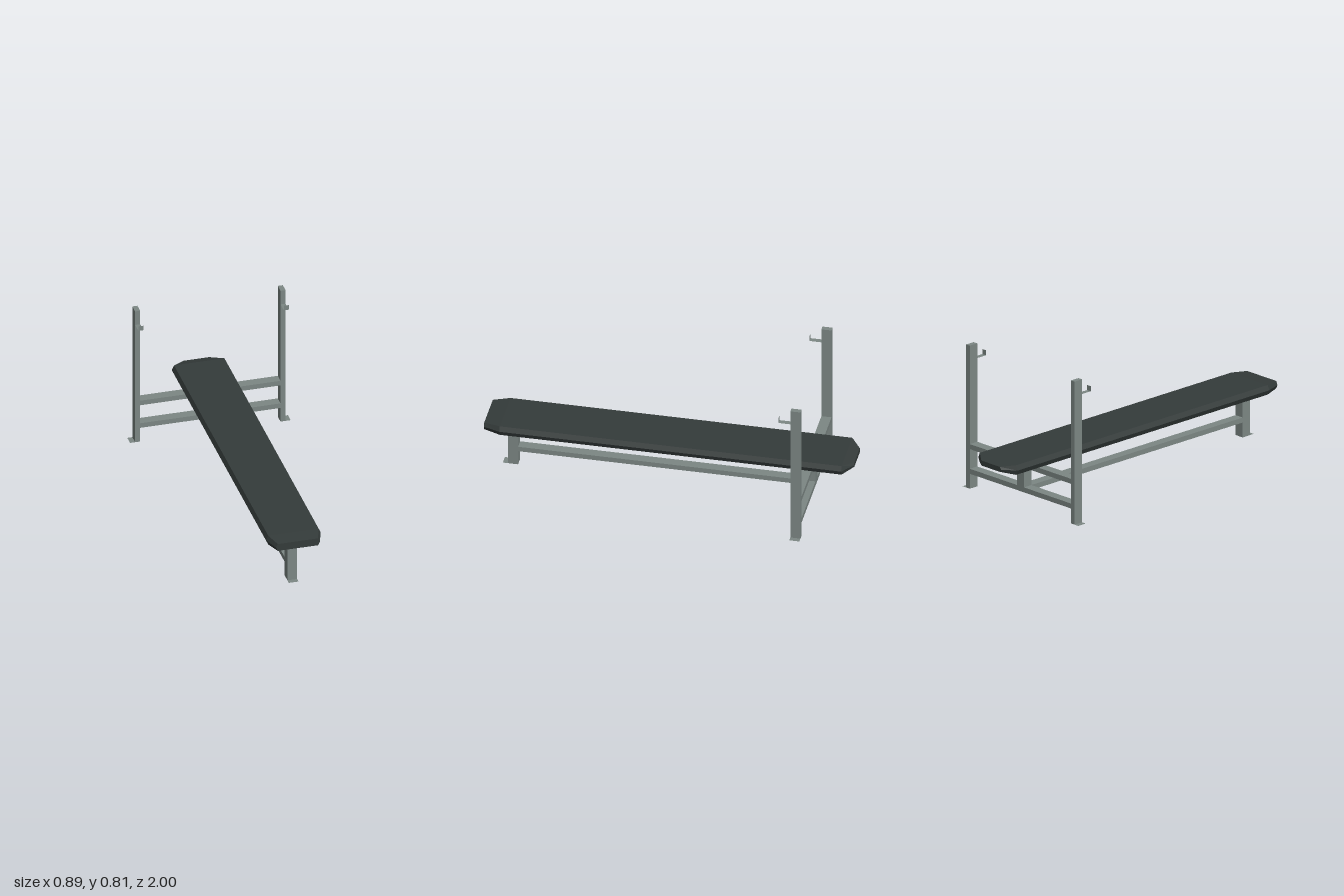
import * as THREE from 'three';

const steel = new THREE.MeshStandardMaterial({ color: 0x7c8784, side: THREE.DoubleSide, flatShading: true });
steel.name = 'grey steel';
const vinyl = new THREE.MeshStandardMaterial({ color: 0x343b3a, flatShading: true });
vinyl.name = 'dark vinyl';

// Box given by its min and max on each axis
function bar(name, [x0, x1], [y0, y1], [z0, z1]) {
  const mesh = new THREE.Mesh(new THREE.BoxGeometry(x1 - x0, y1 - y0, z1 - z0), steel);
  mesh.position.set((x0 + x1) / 2, (y0 + y1) / 2, (z0 + z1) / 2);
  mesh.name = name;
  return mesh;
}

// Flat sheet lying level at height y
function sheet(name, [x0, x1], y, [z0, z1]) {
  const mesh = new THREE.Mesh(new THREE.PlaneGeometry(x1 - x0, z1 - z0).rotateX(-Math.PI / 2), steel);
  mesh.position.set((x0 + x1) / 2, y, (z0 + z1) / 2);
  mesh.name = name;
  return mesh;
}

// Six-sided cushion lofted through cross-sections from front to back
function padGeometry() {
  const mid = 0.278;
  const sections = [ // z, half width at the middle, half width at top, half height
    [1, 0.121, 0.111, 0.021],
    [0.91, 0.151, 0.139, 0.027],
    [-0.945, 0.151, 0.139, 0.027],
    [-1, 0.08, 0.07, 0.014],
  ];
  const points = [];
  for (const [z, w, t, h] of sections) {
    points.push(w, mid, z, t, mid + h, z, -t, mid + h, z, -w, mid, z, -t, mid - h, z, t, mid - h, z);
  }
  const index = [];
  const last = (sections.length - 1) * 6;
  for (let s = 0; s < last; s += 6) {
    for (let j = 0; j < 6; j++) {
      const a = s + j, b = s + (j + 1) % 6;
      index.push(a, a + 6, b, b, a + 6, b + 6);
    }
  }
  for (let k = 1; k < 5; k++) {
    index.push(0, k, k + 1, last, last + k + 1, last + k);
  }
  const g = new THREE.BufferGeometry();
  g.setAttribute('position', new THREE.Float32BufferAttribute(points, 3));
  g.setIndex(index);
  const flat = g.toNonIndexed();
  flat.computeVertexNormals();
  return flat;
}

export function createModel() {
  const model = new THREE.Group();
  model.name = 'weightBench';

  const pad = new THREE.Mesh(padGeometry(), vinyl);
  pad.name = 'benchPad';
  model.add(pad);

  const backZ = [-0.78, -0.725];
  const midX = [-0.027, 0.027];
  const low = [0.084, 0.112];
  const high = [0.223, 0.251];

  // Front leg with its foot plate
  model.add(bar('frontLeg', midX, [0, high[0]], [0.834, 0.889]));
  model.add(sheet('frontFootPlate', midX, 0, [0.834, 0.917]));

  // Long beams under the pad
  model.add(bar('padBeam', midX, high, [backZ[1], 0.917]));
  model.add(bar('lowerBeam', midX, low, [backZ[1], 0.834]));

  // Cross bars between the uprights, joined by a short post
  model.add(bar('upperCrossBar', [-0.387, 0.387], high, backZ));
  model.add(bar('lowerCrossBar', [-0.387, 0.387], low, backZ));
  model.add(bar('centrePost', midX, [low[1], high[0]], backZ));

  // Uprights with outward foot plates and bar hooks
  for (const side of [-1, 1]) {
    const span = (a, b) => (side > 0 ? [a, b] : [-b, -a]);
    const upright = new THREE.Group();
    upright.name = side > 0 ? 'leftUpright' : 'rightUpright';
    upright.add(bar('post', span(0.387, 0.415), [0, 0.805], backZ));
    upright.add(sheet('footPlate', span(0.387, 0.443), 0, backZ));
    upright.add(sheet('hookShelf', span(0.387, 0.415), 0.722, [-0.725, -0.66]));
    const lip = new THREE.Mesh(new THREE.PlaneGeometry(0.028, 0.028), steel);
    lip.position.set(side * 0.401, 0.736, -0.66);
    lip.name = 'hookLip';
    upright.add(lip);
    model.add(upright);
  }
  return model;
}
